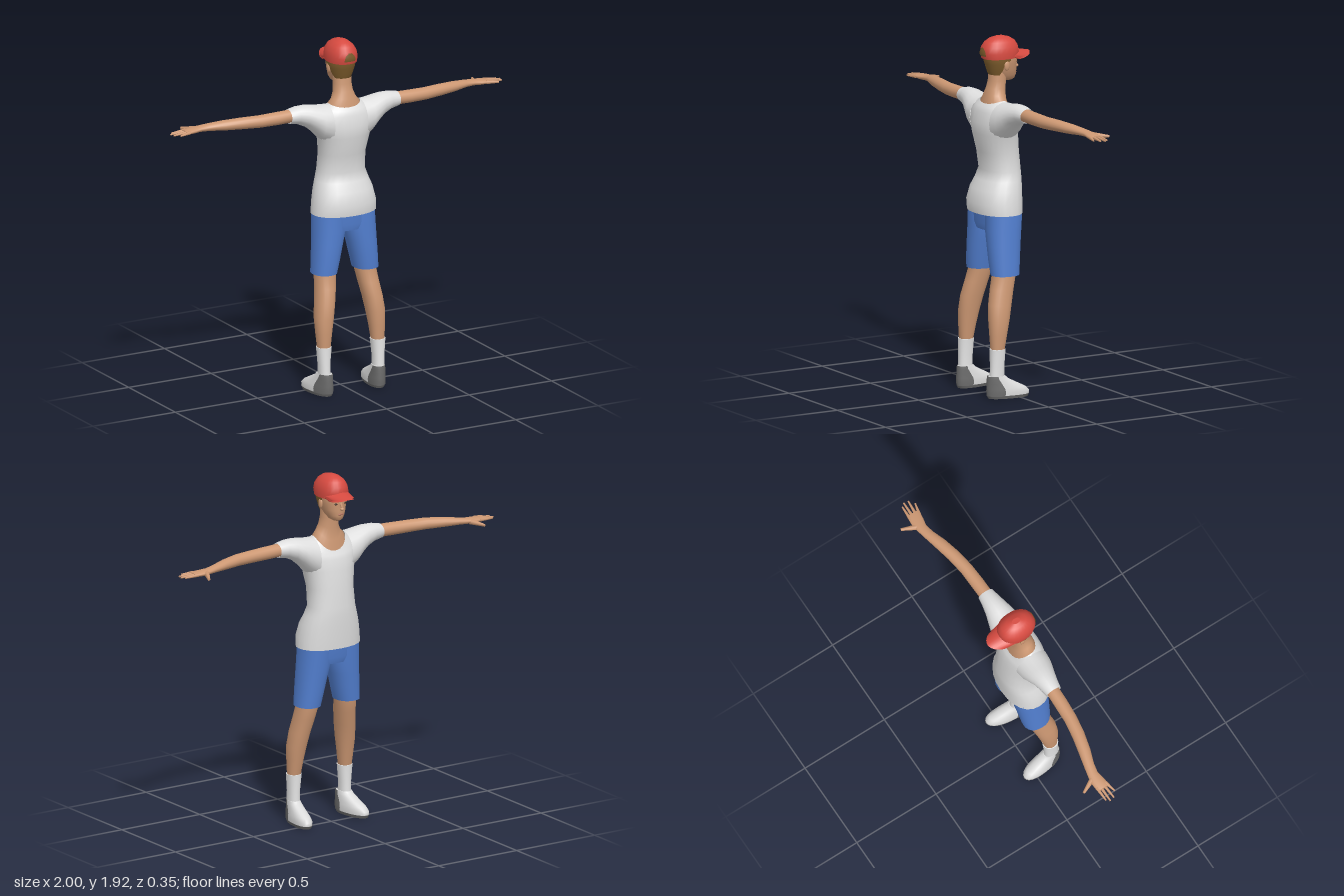
import * as THREE from 'three';

const mat = (name, color, side = THREE.FrontSide) => {
  const m = new THREE.MeshStandardMaterial({ color, side });
  m.name = name;
  return m;
};

// Skin a list of rings; open arcs stay unjoined, ends can be capped.
function loft(rings, { closed = true, caps = true } = {}) {
  const n = rings[0].length, pos = [], idx = [];
  rings.forEach(r => r.forEach(p => pos.push(...p)));
  const cols = closed ? n : n - 1;
  for (let i = 0; i < rings.length - 1; i++) {
    for (let j = 0; j < cols; j++) {
      const k = (j + 1) % n, a = i * n + j, b = i * n + k, c = a + n, d = b + n;
      idx.push(a, c, b, b, c, d);
    }
  }
  if (closed && caps) {
    [rings[0], rings[rings.length - 1]].forEach((r, e) => {
      const base = pos.length / 3;
      r.forEach(p => pos.push(...p));
      pos.push(...[0, 1, 2].map(k => r.reduce((s, p) => s + p[k], 0) / n));
      for (let j = 0; j < n; j++) {
        const k = (j + 1) % n;
        idx.push(base + n, base + (e ? k : j), base + (e ? j : k));
      }
    });
  }
  const g = new THREE.BufferGeometry();
  g.setAttribute('position', new THREE.Float32BufferAttribute(pos, 3));
  g.setIndex(idx);
  g.computeVertexNormals();
  return g;
}

const pw = (v, e) => Math.sign(v) * Math.abs(v) ** e;

// Horizontal ring: x0..x1, z0..z1; dips lower the front and back edges.
function ringY(y, x0, x1, z0, z1, { dip = 0, back = 0, e = 0.9, n = 24 } = {}) {
  return Array.from({ length: n }, (_, i) => {
    const t = i / n * Math.PI * 2, s = Math.sin(t);
    const drop = s < 0 ? dip * (-s) ** 1.5 : back * s ** 1.5;
    return [(x0 + x1) / 2 + (x1 - x0) / 2 * pw(Math.cos(t), e), y - drop,
      (z0 + z1) / 2 + (z1 - z0) / 2 * pw(s, e)];
  });
}

// Part of a horizontal ring, spread by `span` degrees each way from the back.
function arcY(y, hw, z0, z1, span, x = 0, e = 0.9, n = 16) {
  return Array.from({ length: n + 1 }, (_, i) => {
    const t = Math.PI / 2 + (i / n * 2 - 1) * span * Math.PI / 180;
    return [x + hw * pw(Math.cos(t), e), y, (z0 + z1) / 2 + (z1 - z0) / 2 * pw(Math.sin(t), e)];
  });
}

// Upright ring for limbs running along x.
const ringX = (x, y0, y1, z0, z1, n = 18) => Array.from({ length: n }, (_, i) => {
  const t = i / n * Math.PI * 2;
  return [x, (y0 + y1) / 2 + (y1 - y0) / 2 * Math.sin(t), (z0 + z1) / 2 + (z1 - z0) / 2 * Math.cos(t)];
});

function mirrored(g) {
  const m = g.clone().scale(-1, 1, 1), ix = m.index;
  for (let i = 0; i < ix.count; i += 3) {
    const b = ix.getX(i + 1);
    ix.setX(i + 1, ix.getX(i + 2));
    ix.setX(i + 2, b);
  }
  m.computeVertexNormals();
  return m;
}

// Tapered finger between two points.
function finger(p, q, r) {
  const a = new THREE.Vector3(...p), d = new THREE.Vector3(...q).sub(a);
  const g = new THREE.CylinderGeometry(r * 0.45, r, d.length(), 8);
  g.translate(0, d.length() / 2, 0);
  g.applyQuaternion(new THREE.Quaternion().setFromUnitVectors(new THREE.Vector3(0, 1, 0), d.normalize()));
  return g.translate(...p);
}

const ball = (x, y, z, sx, sy, sz) => new THREE.SphereGeometry(1, 14, 10).scale(sx, sy, sz).translate(x, y, z);

export function createModel() {
  const model = new THREE.Group();
  model.name = 'capWearer';
  const skin = mat('skin', 0xcd9873), white = mat('shirtWhite', 0xdedede, THREE.DoubleSide);
  const sock = mat('sockWhite', 0xe6e6e6), blue = mat('shortsBlue', 0x527fd0, THREE.DoubleSide);
  const red = mat('capRed', 0xd64a40, THREE.DoubleSide), hair = mat('hairBrown', 0x7d5c2c, THREE.DoubleSide);
  const shoe = mat('shoeWhite', 0xdadada), dark = mat('shoeGrey', 0x6a6a6a, THREE.DoubleSide);
  const eye = mat('eyeDark', 0x3a2a20), lip = mat('lips', 0xb0705c);

  const add = (name, geo, material) => {
    const m = new THREE.Mesh(geo, material);
    m.name = name;
    model.add(m);
  };
  const pair = (name, geo, material) => {
    add('left' + name, geo, material);
    add('right' + name, mirrored(geo), material);
  };
  const column = (rows, opt) => loft(rows.map(([y, hw, z0, z1, o]) => ringY(y, -hw, hw, z0, z1, o)), opt);
  const limb = (rows, opt) => loft(rows.map(r => ringY(...r)), opt);
  const reach = (rows, opt) => loft(rows.map(r => ringX(...r)), opt);

  // Shirt with a scooped front neckline
  add('shirt', column([
    [0.975, 0.183, -0.09, 0.158], [1.03, 0.18, -0.093, 0.165], [1.1, 0.166, -0.095, 0.147],
    [1.15, 0.149, -0.096, 0.12], [1.2, 0.134, -0.095, 0.102], [1.3, 0.13, -0.086, 0.118],
    [1.4, 0.147, -0.075, 0.14], [1.46, 0.168, -0.062, 0.14], [1.52, 0.165, -0.052, 0.128, { dip: 0.04 }],
    [1.555, 0.13, -0.046, 0.115, { dip: 0.064, back: 0.01 }], [1.583, 0.095, -0.04, 0.1, { dip: 0.08, back: 0.022 }],
  ], { caps: false }), white);
  pair('Sleeve', reach([
    [0.1, 1.36, 1.577, -0.058, 0.128], [0.15, 1.395, 1.58, -0.055, 0.122], [0.19, 1.437, 1.586, -0.045, 0.11],
    [0.23, 1.47, 1.591, -0.034, 0.096], [0.28, 1.493, 1.59, -0.024, 0.082], [0.33, 1.503, 1.58, -0.016, 0.072],
  ], { caps: false }), white);

  // Shorts
  add('shortsSeat', column([
    [0.885, 0.14, -0.052, 0.122], [0.92, 0.172, -0.063, 0.13], [1.0, 0.172, -0.072, 0.135],
  ]), blue);
  pair('ShortsLeg', limb([
    [0.652, 0.058, 0.192, -0.032, 0.122], [0.73, 0.04, 0.187, -0.041, 0.128], [0.81, 0.022, 0.182, -0.05, 0.13],
    [0.89, 0.003, 0.178, -0.06, 0.131], [0.99, 0.0, 0.172, -0.07, 0.132],
  ], { caps: false }), blue);

  // Legs and socks
  pair('Leg', limb([
    [0.26, 0.128, 0.198, 0.076, 0.15], [0.34, 0.118, 0.203, 0.06, 0.155], [0.42, 0.105, 0.206, 0.043, 0.157],
    [0.5, 0.092, 0.196, 0.024, 0.151], [0.58, 0.076, 0.184, 0.004, 0.132], [0.66, 0.063, 0.176, -0.016, 0.112],
    [0.8, 0.045, 0.165, -0.025, 0.11],
  ]), skin);
  pair('Sock', limb([
    [0.09, 0.133, 0.194, 0.076, 0.158], [0.17, 0.133, 0.195, 0.077, 0.155], [0.265, 0.123, 0.203, 0.071, 0.156],
  ]), sock);

  // Shoes: toes turn outward along -z
  const splay = g => {
    const p = g.attributes.position;
    for (let i = 0; i < p.count; i++) p.setX(i, p.getX(i) - (p.getZ(i) - 0.11) * 0.12);
    g.computeVertexNormals();
    return g;
  };
  const shoeRows = [[0.014, 0.047, -0.062, 0.168], [0.035, 0.048, -0.064, 0.17], [0.055, 0.045, -0.042, 0.17],
    [0.08, 0.04, 0.008, 0.168], [0.105, 0.036, 0.056, 0.167], [0.12, 0.033, 0.072, 0.164]];
  const cx = 0.163;
  pair('Shoe', splay(limb(shoeRows.map(([y, w, a, b]) => [y, cx - w, cx + w, a, b]))), shoe);
  pair('Sole', splay(limb([[0, cx - 0.044, cx + 0.044, -0.056, 0.163], [0.016, cx - 0.049, cx + 0.049, -0.065, 0.171]])), dark);
  pair('HeelPanel', splay(loft(shoeRows.map(([y, w, a, b], i) =>
    arcY(y, w + 0.003, a - 0.003, b + 0.003, 72 + i * 2, cx)), { closed: false })), dark);

  // Arms, palms and fingers
  pair('Arm', reach([
    [0.29, 1.508, 1.578, -0.008, 0.064], [0.4, 1.505, 1.575, -0.012, 0.062], [0.5, 1.505, 1.572, -0.015, 0.056],
    [0.6, 1.508, 1.571, -0.03, 0.041], [0.7, 1.51, 1.564, -0.052, 0.016], [0.78, 1.514, 1.553, -0.07, -0.012],
    [0.83, 1.514, 1.546, -0.08, -0.021], [0.87, 1.512, 1.543, -0.085, -0.013], [0.91, 1.515, 1.538, -0.082, -0.008],
    [0.922, 1.518, 1.536, -0.078, -0.01],
  ]), skin);
  [[-0.073, -0.07, 0.985], [-0.054, -0.052, 1], [-0.034, -0.026, 0.995], [-0.018, -0.002, 0.965]].forEach(([z, tip, x], i) =>
    pair('Finger' + (i + 1), finger([0.9, 1.527, z], [x, 1.523, tip], 0.01), skin));
  pair('Thumb', finger([0.845, 1.527, -0.064], [0.884, 1.517, -0.145], 0.016), skin);

  // Neck and head
  add('neck', column([
    [1.53, 0.1, -0.036, 0.104, { dip: 0.06 }], [1.58, 0.092, -0.038, 0.098, { dip: 0.08, back: 0.02 }],
    [1.605, 0.068, -0.024, 0.088, { dip: 0.05 }], [1.64, 0.054, -0.02, 0.076, { dip: 0.02 }],
    [1.68, 0.05, -0.026, 0.066], [1.74, 0.05, -0.03, 0.062],
  ]), skin);
  add('head', column([
    [1.674, 0.018, -0.07, -0.015], [1.683, 0.032, -0.083, 0.015], [1.705, 0.047, -0.09, 0.045],
    [1.735, 0.058, -0.091, 0.066], [1.77, 0.066, -0.091, 0.078], [1.8, 0.07, -0.094, 0.086], [1.84, 0.068, -0.085, 0.09],
  ]), skin);
  add('nose', finger([0, 1.775, -0.086], [0, 1.744, -0.104], 0.009), skin);
  add('noseTip', ball(0, 1.745, -0.098, 0.011, 0.009, 0.013), skin);
  add('mouth', ball(0, 1.714, -0.089, 0.019, 0.005, 0.005), lip);
  pair('Ear', ball(0.07, 1.765, 0.0, 0.009, 0.028, 0.016), skin);
  pair('Eye', ball(0.027, 1.772, -0.084, 0.011, 0.005, 0.005), eye);
  pair('Brow', ball(0.028, 1.788, -0.086, 0.016, 0.003, 0.005), hair);
  add('hair', loft([
    arcY(1.712, 0.055, -0.07, 0.066, 62), arcY(1.735, 0.064, -0.09, 0.075, 72), arcY(1.77, 0.073, -0.09, 0.085, 82),
    arcY(1.79, 0.076, -0.094, 0.091, 100), arcY(1.83, 0.076, -0.094, 0.095, 104),
  ], { closed: false }), hair);

  // Cap with its rear opening and curved brim
  const capRows = [[1.8, 0.079, -0.096, 0.104], [1.83, 0.081, -0.102, 0.112], [1.862, 0.075, -0.097, 0.106],
    [1.888, 0.06, -0.081, 0.088], [1.906, 0.039, -0.053, 0.062], [1.916, 0.015, -0.018, 0.028]];
  add('capCrown', column(capRows), red);
  add('capOpening', loft([[1.816, 0.081, -0.1, 0.1115, 21], [1.83, 0.082, -0.103, 0.115, 21],
    [1.846, 0.08, -0.1, 0.112, 16], [1.862, 0.077, -0.098, 0.109, 5]].map(r => arcY(...r)), { closed: false }), hair);
  const brim = [1, 0].map(up => Array.from({ length: 6 }, (_, i) => {
    const f = i / 5;
    return Array.from({ length: 17 }, (_, j) => {
      const t = (j / 16 * 2 - 1) * Math.PI / 2, s = Math.sin(t), c = Math.cos(t);
      return [0.073 * s * (1 - 0.1 * f), 1.829 - 0.016 * f - 0.022 * s * s + up * 0.008,
        -0.04 - 0.055 * c - f * (0.03 + 0.05 * c)];
    });
  }));
  // Closed cross-sections: top row then the underside row backwards
  add('capBrim', loft(brim[0].map((r, i) => [...r, ...brim[1][i].slice().reverse()])), red);

  return model;
}
